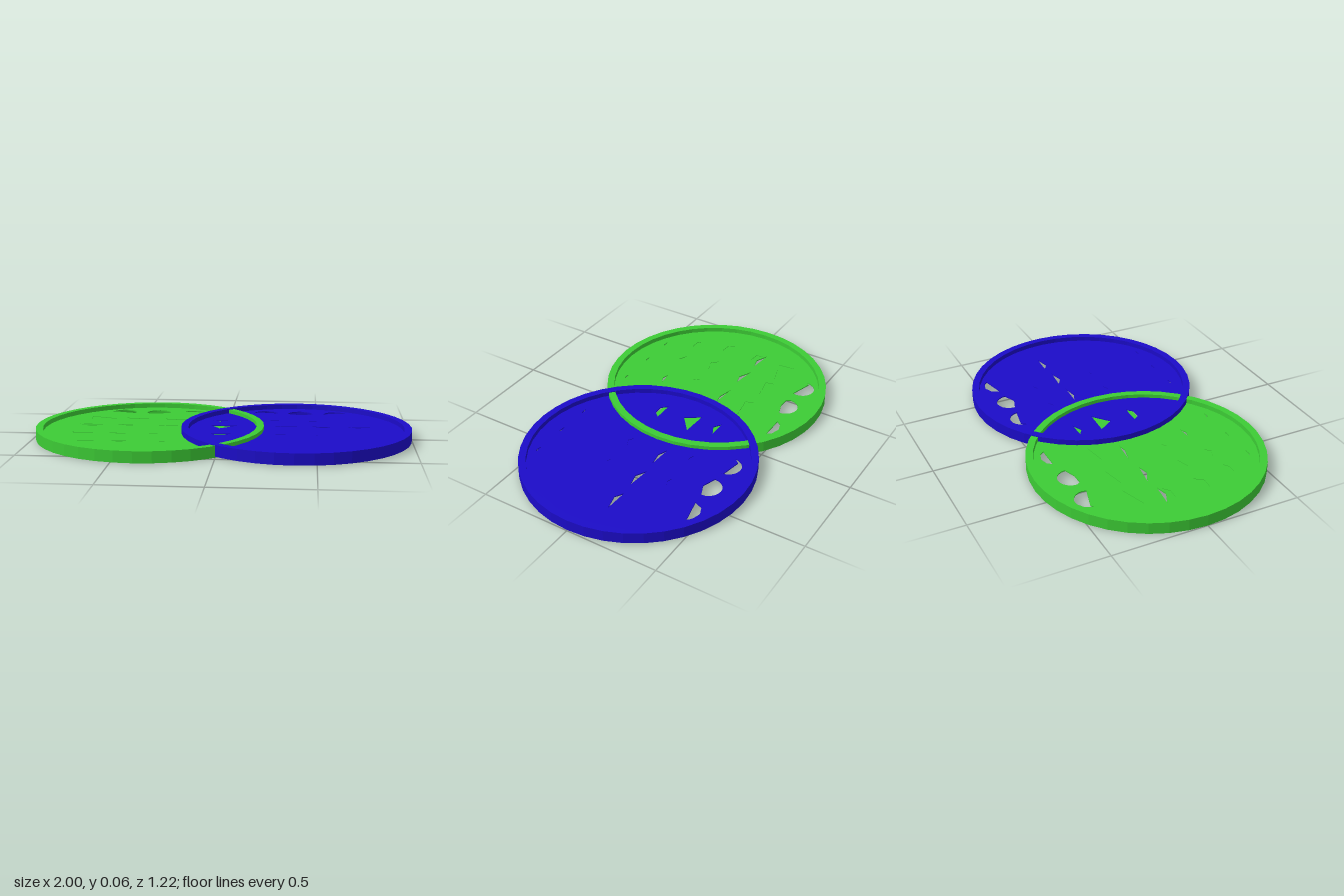
import * as THREE from 'three';

const R = 0.61, INNER = 0.572, SEG = 40, HEIGHT = 0.06;

// Closed outline from flat x, z pairs, on the ground plane
function outline(pts) {
  const v = [];
  for (let i = 0; i < pts.length; i += 2) v.push(new THREE.Vector2(pts[i], -pts[i + 1]));
  return v;
}

function circle(cx, r) {
  const v = [];
  for (let i = 0; i < SEG; i++) {
    const a = (i / SEG) * Math.PI * 2;
    v.push(new THREE.Vector2(cx + r * Math.cos(a), r * Math.sin(a)));
  }
  return v;
}

// Half-round opening: an arc over a slanted lower edge
function dome(x, z, lower) {
  const pts = [];
  for (let i = 0; i <= 10; i++) {
    const a = Math.PI * (1 - i / 10);
    pts.push(x + 0.07 * Math.cos(a), z - 0.07 * Math.sin(a));
  }
  return pts.concat(lower);
}

function slab(name, outer, holes, y, height, material) {
  const shape = new THREE.Shape(outer);
  for (const h of holes) shape.holes.push(new THREE.Path(h));
  const geo = new THREE.ExtrudeGeometry(shape, { depth: height, bevelEnabled: false });
  geo.rotateX(-Math.PI / 2);
  geo.translate(0, y, 0);
  const mesh = new THREE.Mesh(geo, material);
  mesh.name = name;
  return mesh;
}

// Rim ring with a perforated two-layer plate at mid height
function disc(name, cx, y, color, through, pockets) {
  const group = new THREE.Group();
  group.name = name;
  const material = new THREE.MeshStandardMaterial({ color, flatShading: true });
  group.add(slab('rim', circle(cx, R), [circle(cx, INNER)], y, HEIGHT, material));
  const open = through.map(outline);
  const plate = circle(cx, INNER + 0.004);
  group.add(slab('lowerPlate', plate, open, y + 0.029, 0.003, material));
  group.add(slab('upperPlate', plate, open.concat(pockets.map(outline)), y + 0.032, 0.003, material));
  return group;
}

// Thin slits along the front edge
const slits = (xs) => xs.map((x) => [x - 0.02, 0.47, x + 0.02, 0.47, x + 0.015, 0.476, x - 0.015, 0.476]);

export function createModel() {
  const model = new THREE.Group();
  model.name = 'overlappingDiscs';

  const greenThrough = [
    dome(-0.605, -0.425, [-0.54, -0.405, -0.66, -0.44]),
    dome(-0.405, -0.425, [-0.335, -0.425, -0.4, -0.403, -0.46, -0.403]),
    [-0.26, -0.455, -0.24, -0.482, -0.195, -0.494, -0.15, -0.48, -0.13, -0.455],
    [-0.8, -0.105, -0.665, -0.09, -0.73, -0.073],
    [-0.6, -0.105, -0.47, -0.085, -0.53, -0.07],
    [-0.39, -0.097, -0.25, -0.085, -0.3, -0.075],
    [-0.33, 0.28, -0.25, 0.273, -0.29, 0.292],
    // openings under the neighbouring disc
    [-0.03, -0.16, 0.12, -0.15, 0.05, -0.11],
    [-0.06, 0.13, 0.05, 0.14, -0.02, 0.17],
    [-0.03, 0.28, 0.05, 0.28, 0.01, 0.3],
    ...slits([-0.6, -0.405, -0.19]),
  ];
  const greenPockets = [
    [-0.765, -0.3, -0.615, -0.25, -0.755, -0.205],
    [-0.565, -0.273, -0.43, -0.252, -0.555, -0.225],
    [-0.345, -0.263, -0.205, -0.241, -0.33, -0.22],
    [-0.785, -0.085, -0.74, -0.066, -0.685, -0.07, -0.72, -0.042, -0.775, -0.046],
    [-0.795, 0.107, -0.68, 0.107, -0.715, 0.15, -0.775, 0.145],
    [-0.6, 0.107, -0.5, 0.118, -0.57, 0.14],
    [-0.385, 0.107, -0.335, 0.118, -0.365, 0.134],
    [-0.73, 0.305, -0.635, 0.3, -0.665, 0.322, -0.71, 0.322],
    [-0.55, 0.295, -0.475, 0.29, -0.505, 0.316],
  ];
  const blueThrough = [
    dome(0.215, -0.425, [0.28, -0.435, 0.17, -0.455]),
    dome(0.41, -0.425, [0.48, -0.425, 0.415, -0.397, 0.345, -0.42]),
    [0.54, -0.43, 0.56, -0.475, 0.605, -0.494, 0.655, -0.48, 0.675, -0.46],
    [0.27, -0.097, 0.405, -0.09, 0.325, -0.075],
    [0.47, -0.102, 0.6, -0.09, 0.525, -0.07],
    [0.67, -0.102, 0.8, -0.097, 0.715, -0.075],
    [-0.07, -0.22, 0.025, -0.22, -0.03, -0.193],
    [-0.075, -0.097, 0.07, -0.09, -0.02, -0.016],
    [-0.06, 0.107, 0.05, 0.107, 0.02, 0.14, -0.035, 0.14],
    ...slits([0.22, 0.415, 0.615]),
  ];
  const bluePockets = [
    [0.24, -0.235, 0.3, -0.24, 0.27, -0.225],
    [0.45, -0.24, 0.51, -0.245, 0.48, -0.23],
    [0.28, 0.107, 0.34, 0.107, 0.3, 0.125],
    [0.49, 0.107, 0.52, 0.107, 0.5, 0.12],
  ];
  model.add(disc('greenDisc', -0.39, 0, 0x3ccb35, greenThrough, greenPockets));
  model.add(disc('blueDisc', 0.39, 0.005, 0x1b0bc8, blueThrough, bluePockets));
  return model;
}
